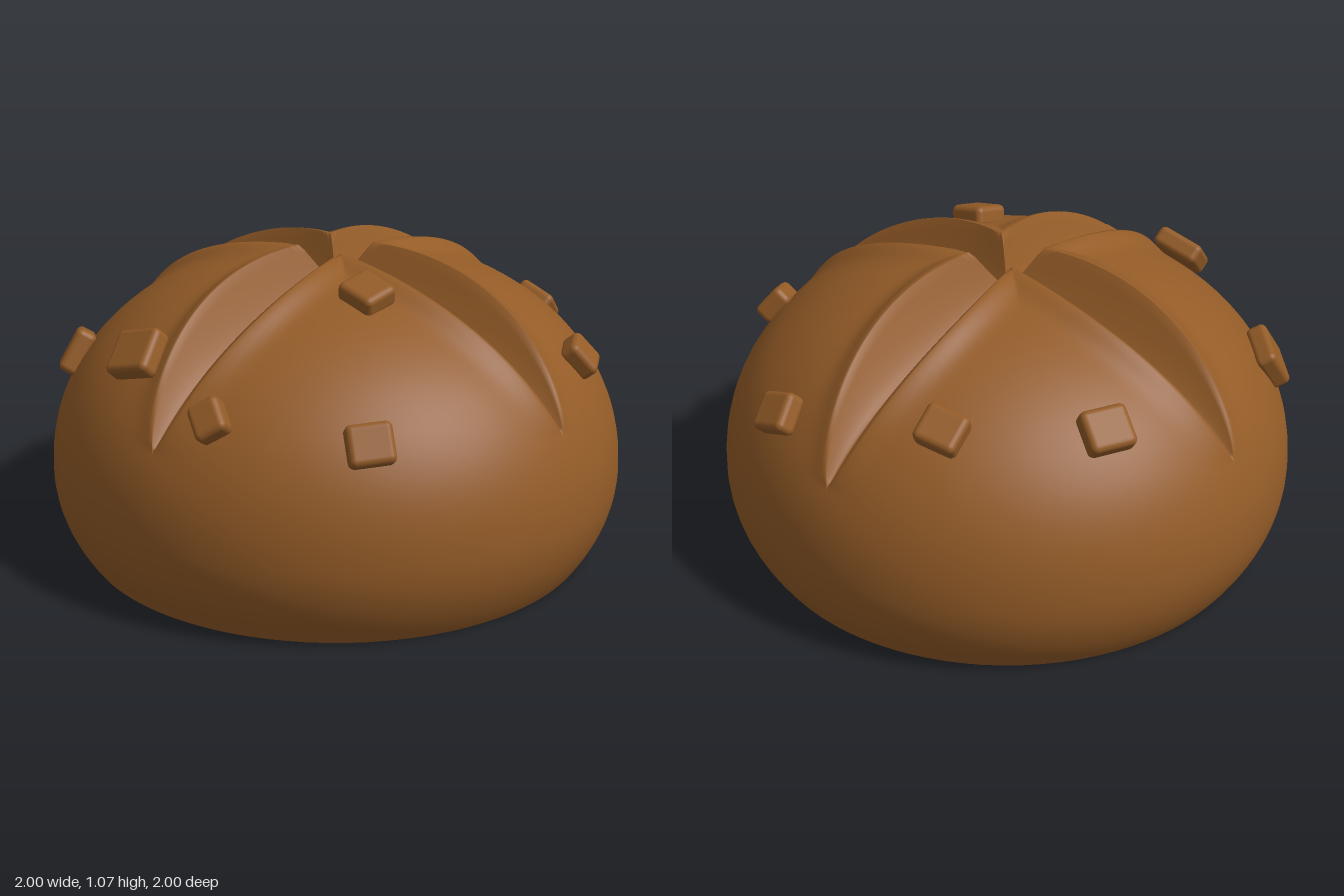
import * as THREE from 'three';
import { RoundedBoxGeometry } from 'three/addons/geometries/RoundedBoxGeometry.js';

const BELLY = 0.29;   // height of the widest ring
const RISE = 0.752;   // dome height above it
const DROP = 0.665;   // curvature radius below it
const FULL = 2.12;    // fullness of the dome's shoulders, 2 is an ellipse
const TILT = THREE.MathUtils.degToRad(-13);  // turn of the cross cut, measured from +x towards +z
const TIP = 0.93;     // radius where each cut ends
const RIM = 0.035;    // height of the raised rim along a cut

// Smooth dome: point and outward normal at polar angle t, turn angle a
function dome(t, a) {
  const r = Math.sin(t);
  const x = r * Math.cos(a), z = r * Math.sin(a);
  if (t >= Math.PI / 2) {
    const c = Math.cos(t);
    return {
      point: new THREE.Vector3(x, BELLY + DROP * c, z),
      normal: new THREE.Vector3(x, c / DROP, z).normalize(),
    };
  }
  const h = Math.pow(1 - Math.pow(r, FULL), 1 / FULL);
  const k = Math.pow(r, FULL - 2);
  return {
    point: new THREE.Vector3(x, BELLY + RISE * h, z),
    normal: new THREE.Vector3(x * k, Math.pow(h, FULL - 1) / RISE, z * k).normalize(),
  };
}

// Crust shell, open below, whose columns follow the edges of four leaf-shaped cuts
function crustGeometry() {
  const rings = 110, inside = 8, outside = 14, half = inside + outside;
  const cols = half * 8;
  const tEnd = Math.PI / 2 + Math.asin(BELLY / DROP);
  const positions = [], index = [];
  for (let i = 0; i <= rings; i++) {
    const t = Math.max(0.001, (tEnd * i) / rings);
    const r = Math.sin(t);
    const along = t < Math.PI / 2 ? Math.min(1, (r + 0.08) / (TIP + 0.08)) : 1;
    const leaf = Math.pow(Math.max(0, Math.sin(Math.PI * along)), 0.65);
    const width = Math.max(0.004, 0.122 * leaf);
    const edge = Math.asin(Math.min(width / r, 0.6));
    const depth = 0.125 * leaf + 0.07 * Math.max(0, 1 - along);
    for (let j = 0; j < cols; j++) {
      const arm = Math.floor((j + half) / (2 * half));
      const k = j - arm * 2 * half;
      const n = Math.abs(k);
      const phi = n <= inside
        ? (edge * n) / inside
        : edge + (Math.PI / 4 - edge) * Math.pow((n - inside) / outside, 1.4);
      // wall of the cut up to its raised rim, which fades into the crust
      const d = r * Math.sin(phi);
      const s = Math.min(1, d / width);
      const past = Math.max(0, d - width) / 0.055;
      const lift = -depth * (1 - Math.pow(s, 1.5)) + RIM * leaf * s * s * Math.exp(-past * past);
      const { point, normal } = dome(t, TILT + arm * Math.PI / 2 + Math.sign(k) * phi);
      point.addScaledVector(normal, lift);
      positions.push(point.x, point.y, point.z);
      if (i < rings) {
        const a = i * cols + j, b = i * cols + ((j + 1) % cols);
        index.push(a, b, a + cols, b, b + cols, a + cols);
      }
    }
  }
  const g = new THREE.BufferGeometry();
  g.setAttribute('position', new THREE.Float32BufferAttribute(positions, 3));
  g.setIndex(index);
  g.computeVertexNormals();
  return g;
}

export function createModel() {
  const model = new THREE.Group();
  model.name = 'breadRoll';
  const brown = new THREE.MeshStandardMaterial({ color: 0x935b27, side: THREE.DoubleSide });
  brown.name = 'crustBrown';

  const crust = new THREE.Mesh(crustGeometry(), brown);
  crust.name = 'crust';
  model.add(crust);

  // Crumbs stuck on the crust: x, z, size, spin, offset from the crust
  const crumbs = [
    [0.10, -0.86, 0.15, 0.3, 0.025],
    [-0.45, -0.62, 0.15, 0.35, 0.025],
    [0.69, -0.48, 0.13, 0.8, 0.025],
    [-0.75, -0.22, 0.16, 1.3, 0.03],
    [0.37, 0.17, 0.15, 0.1, 0.02],
    [0.75, 0.47, 0.15, 1.1, 0.02],
    [-0.58, 0.68, 0.18, -0.4, 0.02],
    [-0.03, 0.77, 0.18, 0.35, 0.045],
    [0.36, 0.78, 0.125, -0.5, 0.025],
  ];
  const up = new THREE.Vector3(0, 1, 0);
  for (const [x, z, size, spin, offset] of crumbs) {
    const { point, normal } = dome(Math.asin(Math.hypot(x, z)), Math.atan2(z, x));
    const crumb = new THREE.Mesh(new RoundedBoxGeometry(size, 0.075, size * 0.9, 3, 0.022), brown);
    crumb.name = 'crumb';
    crumb.position.copy(point).addScaledVector(normal, offset);
    crumb.quaternion.setFromUnitVectors(up, normal);
    crumb.rotateY(spin);
    crumb.rotateX(0.08);
    model.add(crumb);
  }
  return model;
}
